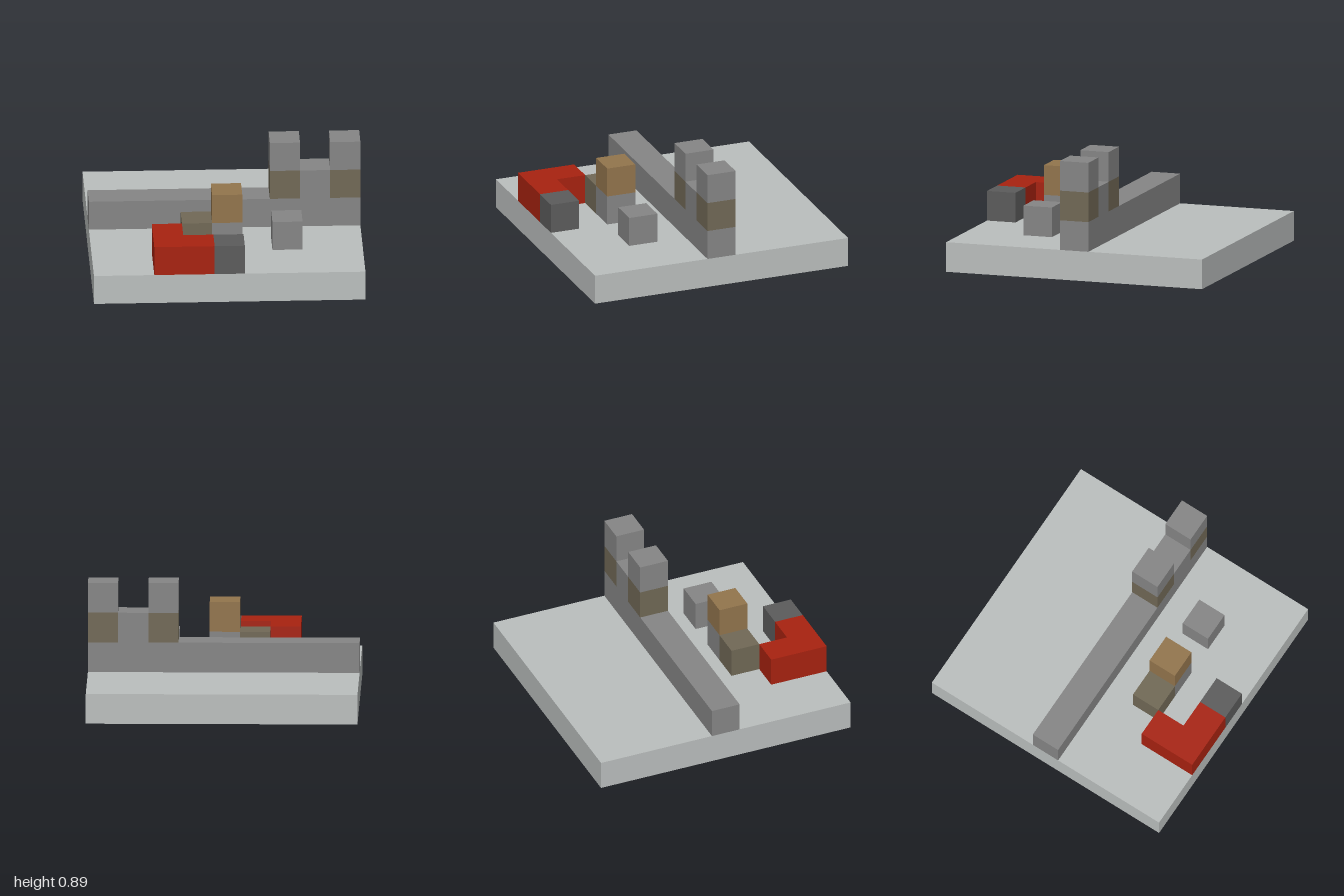
import * as THREE from 'three';

const U = 2 / 9; // one grid cell

const makeMaterial = (name, color) => {
  const m = new THREE.MeshStandardMaterial({ color });
  m.name = name;
  return m;
};

export function createModel() {
  const model = new THREE.Group();
  model.name = 'blockTerrain';

  const ground = makeMaterial('paleGrey', 0xbbbfbe);
  const stone = makeMaterial('stoneGrey', 0x868686);
  const dark = makeMaterial('darkGrey', 0x5c5c5c);
  const red = makeMaterial('red', 0xa82210);
  const tan = makeMaterial('tan', 0x93754d);
  const olive = makeMaterial('oliveBrown', 0x716956);

  // Block from cell (x, y, z), spanning w by h by d cells
  const block = (name, material, x, y, z, w = 1, h = 1, d = 1) => {
    const mesh = new THREE.Mesh(new THREE.BoxGeometry(w * U, h * U, d * U), material);
    mesh.name = name;
    mesh.position.set((x + w / 2 - 4.5) * U, (y + h / 2) * U, (z + d / 2 - 4.5) * U);
    model.add(mesh);
  };

  // Ground slab
  block('groundSlab', ground, 0, 0, 0, 9, 1, 9);

  // Wall with a raised end and two banded towers
  block('lowWall', stone, 0, 1, 4, 6);
  block('raisedWallBase', stone, 6, 1, 4, 3);
  block('wallBetweenTowers', stone, 7, 2, 4);
  for (const x of [6, 8]) {
    block('towerBand', olive, x, 2, 4);
    block('towerTop', stone, x, 3, 4);
  }

  // L-shaped red piece with its dark end block
  const l = new THREE.Shape([[2, 7], [3, 7], [3, 8], [4, 8], [4, 9], [2, 9]]
    .map(([x, z]) => new THREE.Vector2((x - 4.5) * U, -(z - 4.5) * U)));
  const corner = new THREE.Mesh(
    new THREE.ExtrudeGeometry(l, { depth: U, bevelEnabled: false }).rotateX(-Math.PI / 2), red);
  corner.name = 'redCornerPiece';
  corner.position.y = U;
  model.add(corner);
  block('darkEndBlock', dark, 4, 1, 8);

  // Small free-standing blocks
  block('oliveBlock', olive, 3, 1, 6);
  block('pillarBase', stone, 4, 1, 6);
  block('pillarTop', tan, 4, 2, 6);
  block('loneBlock', stone, 6, 1, 6);

  return model;
}
